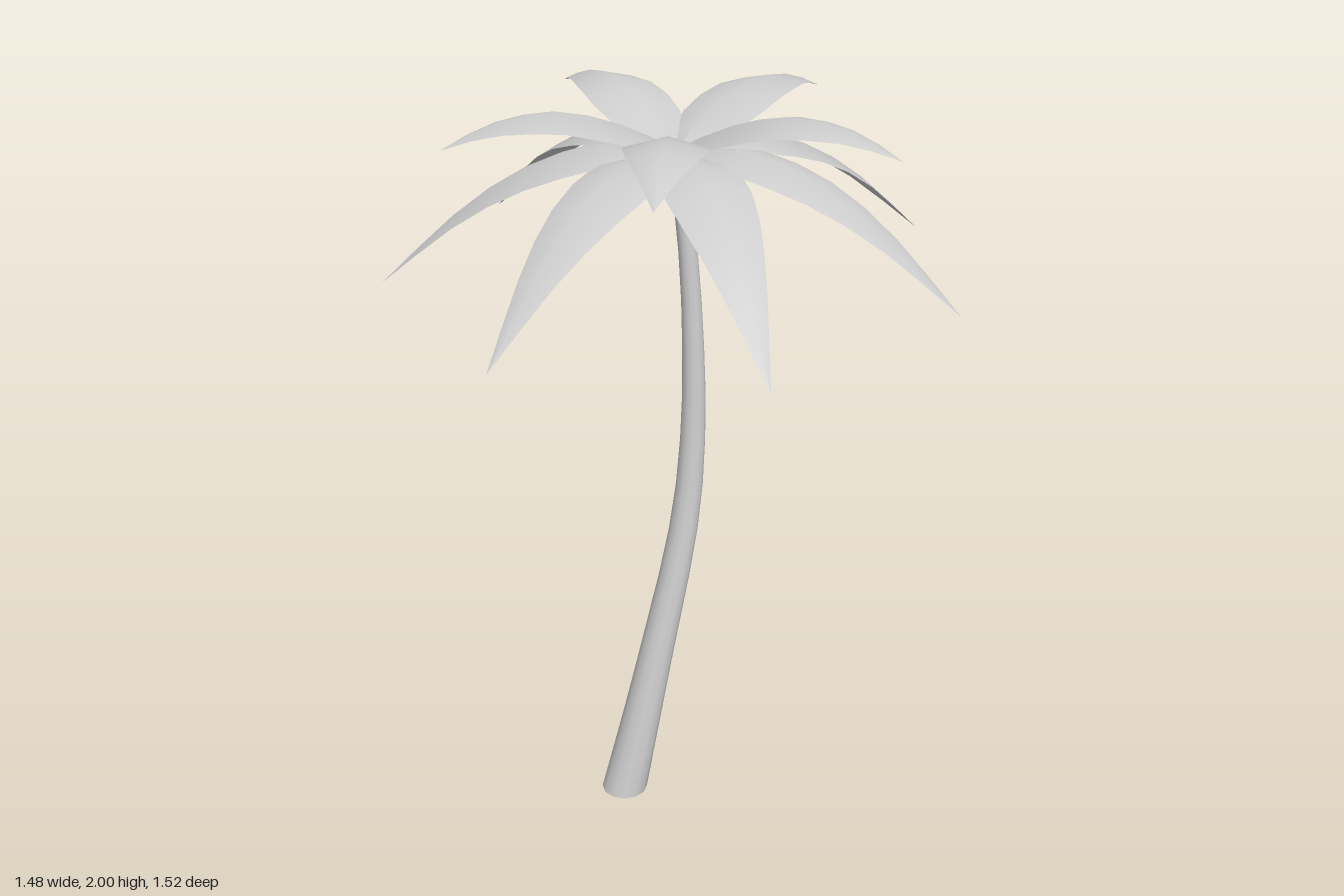
import * as THREE from 'three';
import { toCreasedNormals } from 'three/addons/utils/BufferGeometryUtils.js';

const paleGrey = new THREE.MeshStandardMaterial({ color: 0xcccccc });
paleGrey.name = 'paleGrey';
const leafGrey = paleGrey;
leafGrey.side = THREE.DoubleSide;

// Smooth curve through [a, b] pairs, sampled by its first coordinate
function lookup(points) {
  const pts = points.map(([a, b]) => new THREE.Vector2(a, b));
  const line = new THREE.SplineCurve(pts).getPoints(200);
  return (a) => {
    let i = 1;
    while (i < line.length - 1 && line[i].x < a) i++;
    const p = line[i - 1], q = line[i];
    return p.y + (q.y - p.y) * THREE.MathUtils.clamp((a - p.x) / (q.x - p.x), 0, 1);
  };
}

// Leaning trunk: a cylinder whose rings follow a bent, tapering path
function makeTrunk() {
  const top = 1.87;
  const cx = lookup([[0, -0.27], [0.4, -0.165], [0.8, -0.06], [1.1, -0.02], [1.4, -0.012], [1.65, -0.02], [top, -0.04]]);
  const cz = lookup([[0, 0.09], [0.4, 0.085], [1, 0.061], [1.5, 0.03], [top, 0]]);
  const radius = lookup([[0, 0.065], [0.4, 0.05], [1, 0.036], [1.5, 0.027], [top, 0.023]]);
  const geo = new THREE.CylinderGeometry(1, 1, top, 12, 14);
  geo.translate(0, top / 2, 0);
  const p = geo.attributes.position;
  for (let i = 0; i < p.count; i++) {
    const y = p.getY(i), r = radius(y);
    p.setXYZ(i, cx(y) + p.getX(i) * r, y, cz(y) + p.getZ(i) * r);
  }
  const mesh = new THREE.Mesh(toCreasedNormals(geo, 0.8), paleGrey);
  mesh.name = 'trunk';
  return mesh;
}

// Arched leaf along +x: pointed at both ends, with a raised midrib
function makeLeafGeometry(length, rib, fullness) {
  const geo = new THREE.PlaneGeometry(2, 1, 2, 8);
  const height = lookup(rib);
  const p = geo.attributes.position;
  for (let i = 0; i < p.count; i++) {
    const t = 0.5 - p.getY(i), side = -p.getX(i);
    const half = 0.112 * Math.sin(Math.PI * Math.pow(t, fullness));
    p.setXYZ(i, t * length, height(t * length) - Math.abs(side) * half * 0.28, side * half);
  }
  geo.computeVertexNormals();
  return geo;
}

// Ring of equally spaced leaves around the trunk top
function makeRing(name, count, startDegrees, geo) {
  const ring = new THREE.Group();
  ring.name = name;
  ring.position.x = -0.04;
  for (let i = 0; i < count; i++) {
    const leaf = new THREE.Mesh(geo, leafGrey);
    leaf.name = 'leaf';
    leaf.rotation.y = -THREE.MathUtils.degToRad(startDegrees + (i * 360) / count);
    ring.add(leaf);
  }
  return ring;
}

export function createModel() {
  const palm = new THREE.Group();
  palm.name = 'palmTree';
  const lower = makeLeafGeometry(0.78,
    [[0, 1.865], [0.1, 1.893], [0.18, 1.9], [0.27, 1.883], [0.42, 1.823], [0.58, 1.715], [0.78, 1.53]], 0.6);
  const upper = makeLeafGeometry(0.608,
    [[0, 1.88], [0.12, 1.945], [0.24, 1.988], [0.34, 2], [0.48, 1.977], [0.608, 1.92]], 0.7);
  palm.add(makeTrunk());
  palm.add(makeRing('lowerLeaves', 7, 0, lower));
  palm.add(makeRing('upperLeaves', 5, -20, upper));
  return palm;
}
